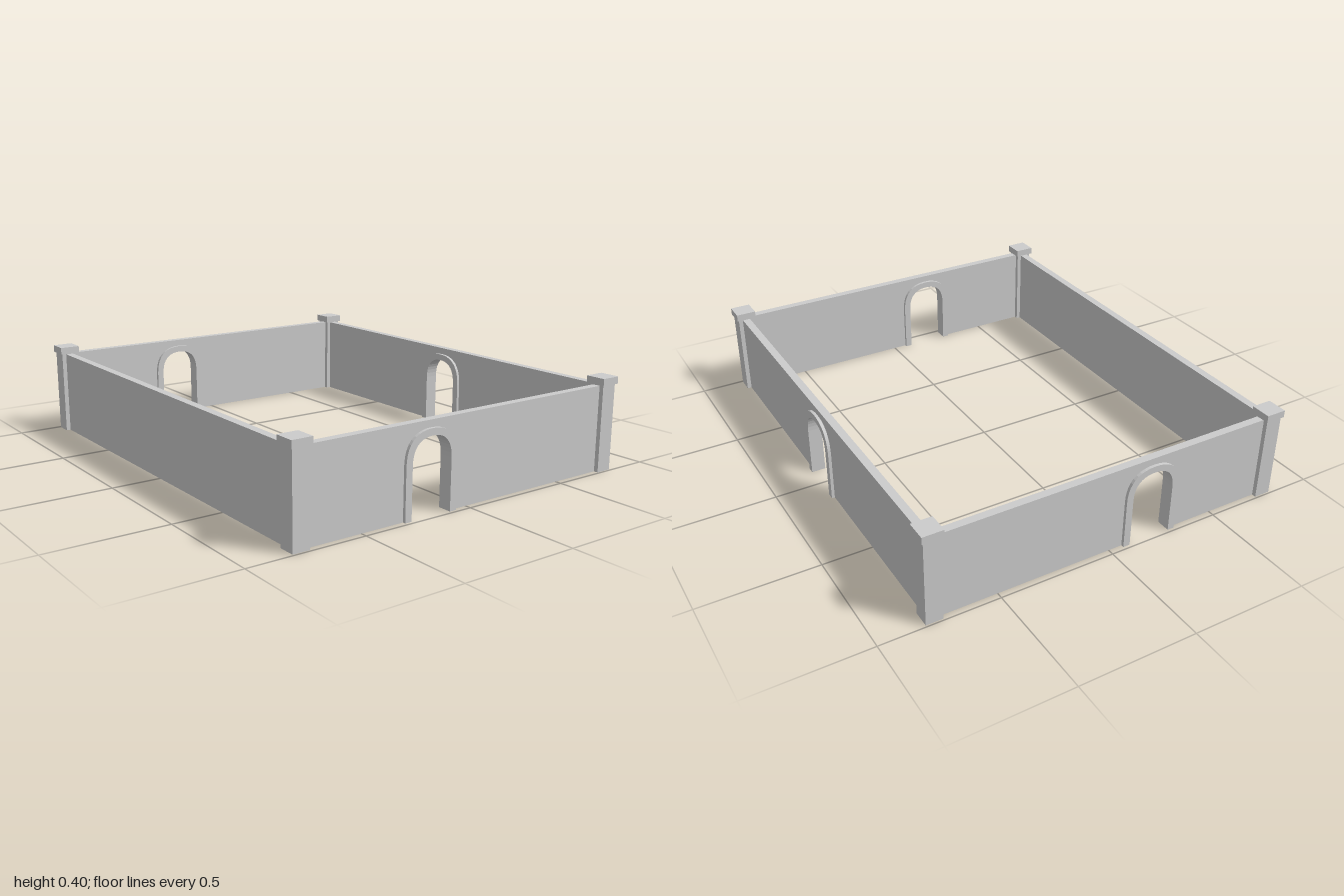
import * as THREE from 'three';

const material = new THREE.MeshStandardMaterial({ color: 0xcccccc, flatShading: true });

const HX = 0.771, HZ = 0.956;           // post centres
const WALL_H = 0.368, WALL_T = 0.034;
const SPRING = 0.21;                    // height where the arch starts to curve

function add(parent, name, geometry, x = 0, y = 0, z = 0) {
  const mesh = new THREE.Mesh(geometry, material);
  mesh.name = name;
  mesh.position.set(x, y, z);
  parent.add(mesh);
}

// Arch outline, left foot to right foot, with slightly squared shoulders
function archPoints(cx, half, top) {
  const k = 0.66, rise = top - SPRING;
  const quarter = new THREE.CubicBezierCurve(
    new THREE.Vector2(-half, SPRING),
    new THREE.Vector2(-half, SPRING + k * rise),
    new THREE.Vector2(-k * half, top),
    new THREE.Vector2(0, top)
  ).getPoints(10);
  const left = [new THREE.Vector2(-half, 0), ...quarter];
  const right = left.slice(0, -1).reverse().map(p => new THREE.Vector2(-p.x, p.y));
  return [...left, ...right].map(p => p.setX(p.x + cx));
}

function extrude(points, depth) {
  const g = new THREE.ExtrudeGeometry(new THREE.Shape(points), { depth, bevelEnabled: false });
  return g.translate(0, 0, -depth / 2);
}

// Wall panel along x with an optional archway centred at archX
function wall(name, length, archX) {
  const group = new THREE.Group();
  group.name = name;
  const h = length / 2;
  const opening = archX === undefined ? [] : archPoints(archX, 0.105, 0.322);
  const outline = [
    new THREE.Vector2(-h, 0), ...opening, new THREE.Vector2(h, 0),
    new THREE.Vector2(h, WALL_H), new THREE.Vector2(-h, WALL_H)
  ];
  add(group, 'wallPanel', extrude(outline, WALL_T));
  if (archX !== undefined) {
    // Raised surround standing proud of both wall faces
    const ring = [...archPoints(archX, 0.124, 0.339), ...archPoints(archX, 0.094, 0.311).reverse()];
    add(group, 'archSurround', extrude(ring, 0.06));
  }
  return group;
}

export function createModel() {
  const model = new THREE.Group();
  model.name = 'walledEnclosure';

  // Front and back walls, arches facing each other
  for (const [name, z] of [['frontWall', HZ], ['backWall', -HZ]]) {
    const w = wall(name, 2 * HX, -0.185);
    w.position.z = z;
    model.add(w);
  }

  // Side walls: one with a central archway, one solid
  for (const [name, x, arch] of [['leftWall', HX, 0], ['rightWall', -HX, undefined]]) {
    const w = wall(name, 2 * HZ, arch);
    w.rotation.y = Math.PI / 2;
    w.position.x = x;
    model.add(w);
  }

  // Corner posts with square caps
  for (const sx of [-1, 1]) for (const sz of [-1, 1]) {
    const corner = new THREE.Group();
    corner.name = 'cornerPost';
    corner.position.set(sx * HX, 0, sz * HZ);
    add(corner, 'postShaft', new THREE.BoxGeometry(0.072, 0.372, 0.072), 0, 0.186, 0);
    add(corner, 'postCap', new THREE.BoxGeometry(0.088, 0.031, 0.088), 0, 0.3865, 0);
    model.add(corner);
  }
  return model;
}
